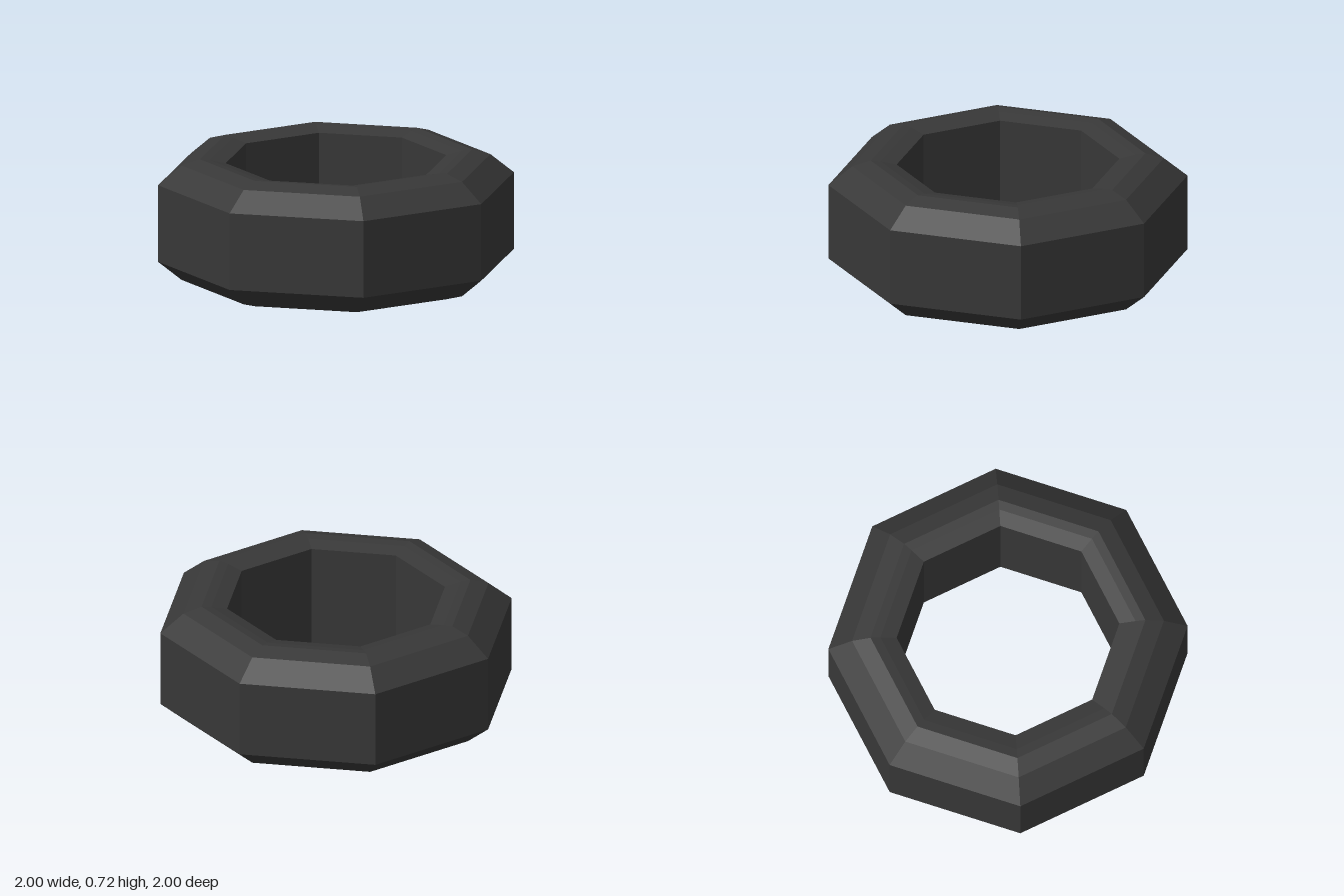
import * as THREE from 'three';

export function createModel() {
  const group = new THREE.Group();
  group.name = 'tyre';
  const rubber = new THREE.MeshStandardMaterial({ color: 0x383838, flatShading: true });
  rubber.name = 'dark rubber';

  // Upper half of the cross-section, [radius, height above the middle], tread to bore
  const mid = 0.3585;
  const half = [[1, 0.219], [0.868, 0.327], [0.765, 0.3585], [0.71, 0.352], [0.62, 0.331]];
  const upper = half.map(([r, h]) => new THREE.Vector2(r, mid + h));
  const lower = half.map(([r, h]) => new THREE.Vector2(r, mid - h)).reverse();

  // Closed profile: up the tread, over the top, down the bore, back underneath
  const profile = [...upper, ...lower, upper[0].clone()];
  const ring = new THREE.Mesh(new THREE.LatheGeometry(profile, 8), rubber);
  ring.name = 'tyreRing';
  group.add(ring);
  return group;
}
